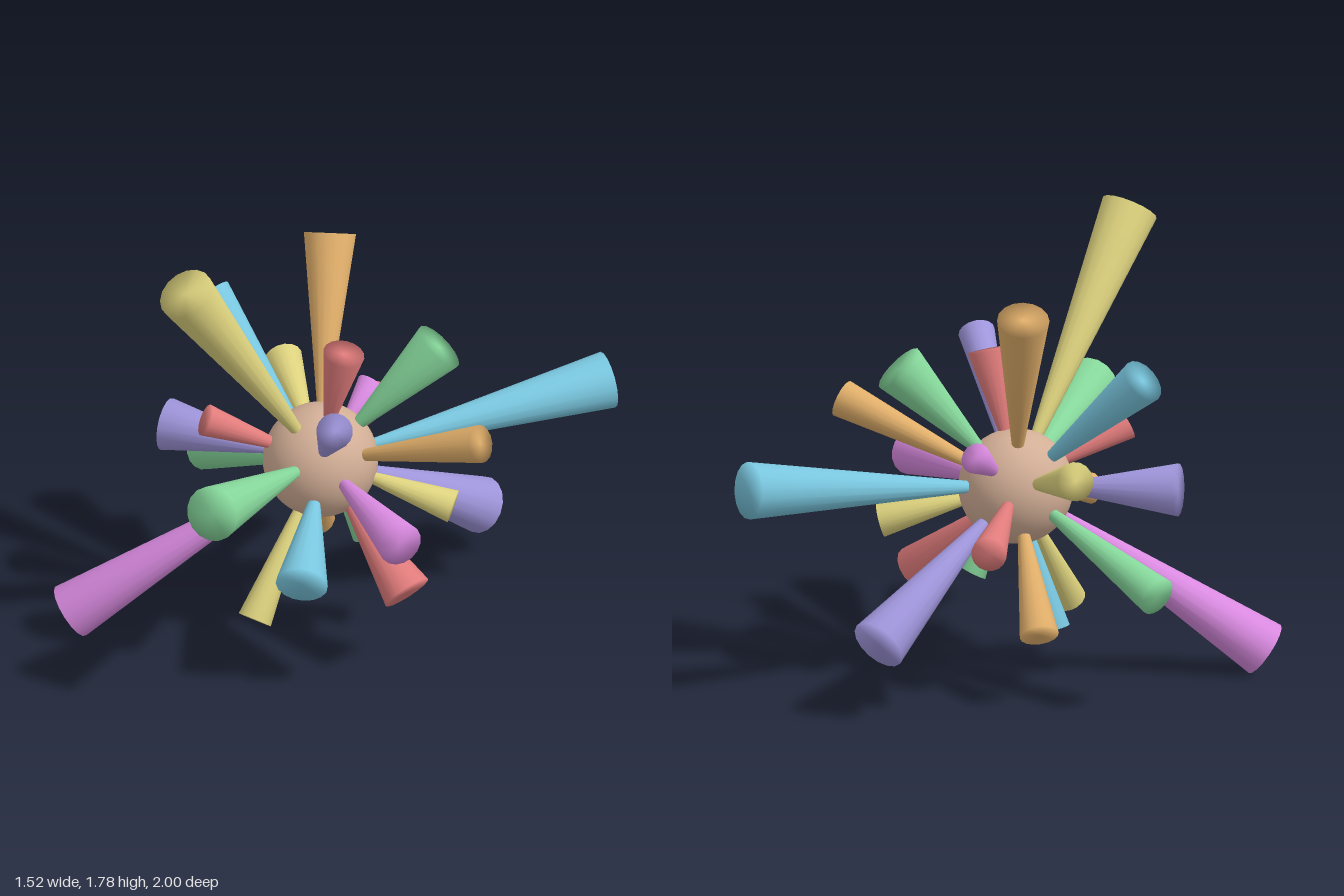
import * as THREE from 'three';
import { mergeVertices } from 'three/addons/utils/BufferGeometryUtils.js';

const CENTER = new THREE.Vector3(0.04, 0.765, 0.145);
const CORE_RADIUS = 0.22;
const SPIKE_START = 0.2;   // distance from the centre where a spike begins
const SPIKE_ROOT = 0.022;  // radius of a spike at its root

// One [end distance from centre, end radius] per spike, top to bottom
const SPIKES = [
  [0.53, 0.08], [0.86, 0.1], [1.175, 0.11], [0.66, 0.105], [0.765, 0.09],
  [0.766, 0.07], [0.37, 0.06], [0.49, 0.062], [0.77, 0.073], [0.575, 0.075],
  [0.908, 0.107], [1.17, 0.11], [0.634, 0.102], [0.717, 0.087], [0.704, 0.068],
  [0.374, 0.06], [0.536, 0.065], [0.822, 0.078], [0.605, 0.1], [0.922, 0.11],
  [1.165, 0.11], [0.614, 0.096], [0.645, 0.075], [0.66, 0.066], [0.37, 0.055],
  [0.565, 0.067],
];

function material(name, color) {
  const m = new THREE.MeshStandardMaterial({ color });
  m.name = name;
  return m;
}

// Flared cone along +y with normals blended over the rim
function spikeGeometry(length, radius) {
  let g = new THREE.CylinderGeometry(radius, SPIKE_ROOT, length, 16, 1);
  g.deleteAttribute('uv');
  g.deleteAttribute('normal');
  g = mergeVertices(g, 1e-5);
  g.computeVertexNormals();
  return g;
}

export function createModel() {
  const model = new THREE.Group();
  model.name = 'spikyBall';

  const spikeMaterials = [
    material('red', 0xe07b7b),
    material('orange', 0xe0ae6a),
    material('yellow', 0xddd27e),
    material('green', 0x85d69a),
    material('blue', 0x79c6de),
    material('lavender', 0x9f95db),
    material('magenta', 0xd98ae0),
  ];

  // Round core
  const core = new THREE.Mesh(
    new THREE.SphereGeometry(CORE_RADIUS, 32, 24), material('tan', 0xd2ae96));
  core.name = 'core';
  core.position.copy(CENTER);
  model.add(core);

  // Spikes spread evenly over the core on a golden-angle spiral
  const golden = Math.PI * (3 - Math.sqrt(5));
  const up = new THREE.Vector3(0, 1, 0);
  SPIKES.forEach(([end, radius], i) => {
    const y = 1 - (2 * (i + 0.5)) / SPIKES.length;
    const ring = Math.sqrt(1 - y * y);
    const dir = new THREE.Vector3(
      ring * Math.cos(i * golden), y, -ring * Math.sin(i * golden));
    const spike = new THREE.Mesh(
      spikeGeometry(end - SPIKE_START, radius), spikeMaterials[i % spikeMaterials.length]);
    spike.name = `spike${i + 1}`;
    spike.quaternion.setFromUnitVectors(up, dir);
    spike.position.copy(CENTER).addScaledVector(dir, (end + SPIKE_START) / 2);
    model.add(spike);
  });

  return model;
}
